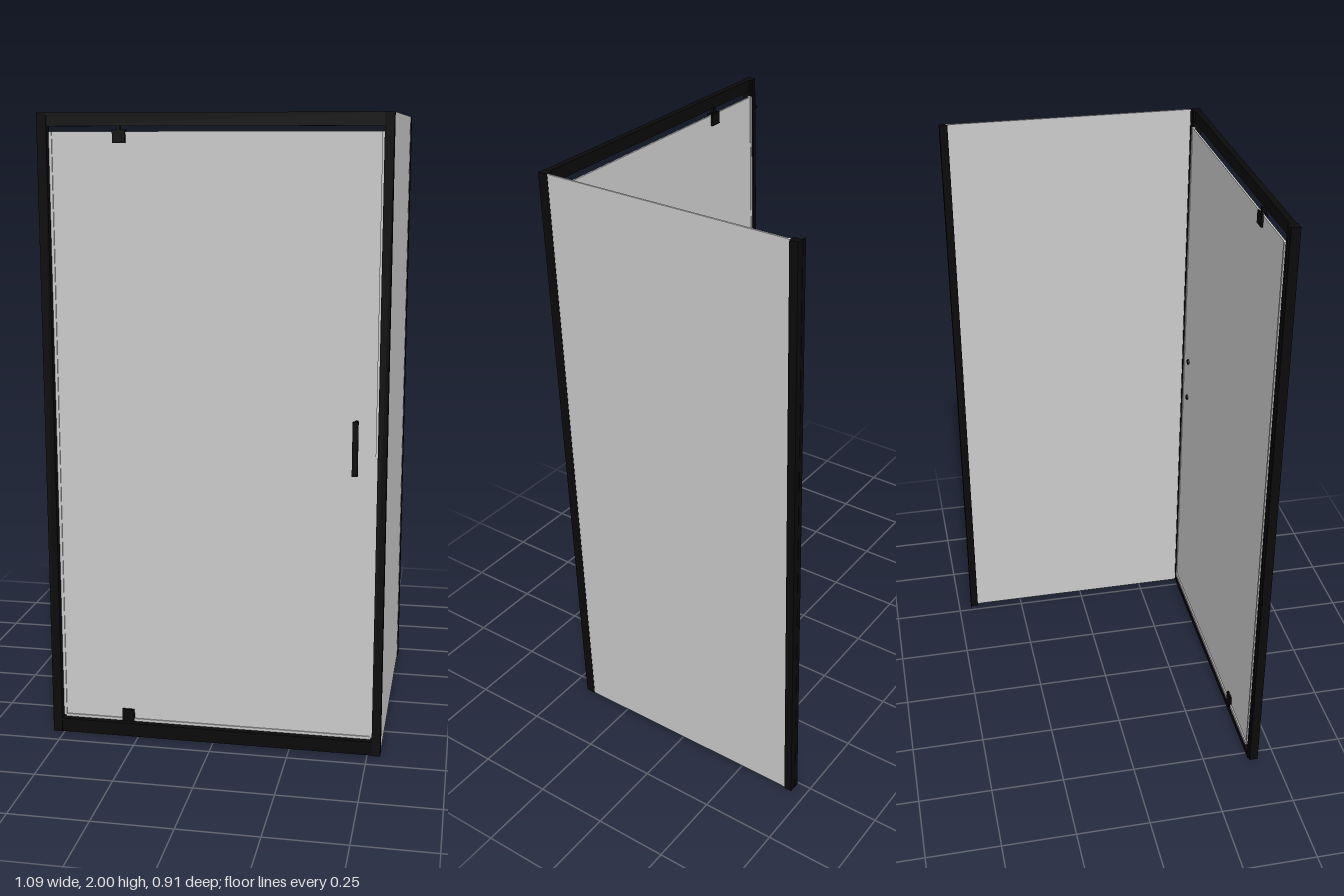
import * as THREE from 'three';

const black = new THREE.MeshStandardMaterial({ color: 0x0a0a0a });
const grey = new THREE.MeshStandardMaterial({ color: 0xcccccc });

export function createModel() {
  const model = new THREE.Group();

  // Box given by its limits on each axis
  const box = (name, [x0, x1], [y0, y1], [z0, z1], material = black, parent = model) => {
    const mesh = new THREE.Mesh(new THREE.BoxGeometry(x1 - x0, y1 - y0, z1 - z0), material);
    mesh.position.set((x0 + x1) / 2, (y0 + y1) / 2, (z0 + z1) / 2);
    mesh.name = name;
    parent.add(mesh);
    return mesh;
  };

  // Round pin centred at a point, lying along x or z
  const pin = (name, radius, length, axis, x, y, z, parent = model) => {
    const geometry = new THREE.CylinderGeometry(radius, radius, length, 16);
    if (axis === 'x') geometry.rotateZ(Math.PI / 2);
    else geometry.rotateX(Math.PI / 2);
    const mesh = new THREE.Mesh(geometry, black);
    mesh.position.set(x, y, z);
    mesh.name = name;
    parent.add(mesh);
  };

  // Front frame
  box('wallPost', [-0.537, -0.507], [0, 2], [0.41, 0.439]);
  box('wallPostLip', [-0.529, -0.516], [0, 2], [0.405, 0.41]);
  box('cornerPost', [0.514, 0.542], [0, 2], [0.41, 0.439]);
  box('cornerPostLip', [0.53, 0.542], [0, 2], [0.405, 0.41]);
  box('topRail', [-0.507, 0.514], [1.96, 2], [0.416, 0.436]);
  box('bottomRail', [-0.507, 0.514], [0, 0.045], [0.416, 0.436]);
  box('thresholdBase', [-0.507, 0.514], [0, 0.018], [0.405, 0.416]);

  // Door glass with its seals
  box('doorGlass', [-0.5, 0.508], [0.05, 1.945], [0.406, 0.412], grey);
  box('hingeSideSeal', [-0.507, -0.498], [0.05, 1.945], [0.404, 0.416], grey);
  box('closingSeal', [0.506, 0.514], [0.05, 1.945], [0.404, 0.416], grey);
  box('bottomSeal', [-0.5, 0.508], [0.04, 0.054], [0.401, 0.416], grey);

  // Pivot hinges clamped on both faces of the glass
  for (const [name, y0, y1, pivot0, pivot1] of [
    ['lowerHinge', 0.045, 0.086, 0.018, 0.045],
    ['upperHinge', 1.91, 1.95, 1.95, 1.965],
  ]) {
    const hinge = new THREE.Group();
    hinge.name = name;
    box('backPlate', [-0.307, -0.267], [y0, y1], [0.399, 0.406], black, hinge);
    box('frontPlate', [-0.307, -0.267], [y0, y1], [0.412, 0.419], black, hinge);
    box('pivot', [-0.292, -0.282], [pivot0, pivot1], [0.405, 0.419], black, hinge);
    model.add(hinge);
  }

  // Pull handle with two through bolts
  const handle = new THREE.Group();
  handle.name = 'handle';
  box('grip', [0.437, 0.455], [0.915, 1.085], [0.445, 0.453], black, handle);
  for (const y of [0.925, 1.075]) {
    pin('handleBolt', 0.007, 0.046, 'z', 0.446, y, 0.425, handle);
    pin('boltCap', 0.009, 0.006, 'z', 0.446, y, 0.403, handle);
  }
  model.add(handle);

  // Fixed side panel and its wall profile
  box('sideGlass', [0.535, 0.541], [0, 2], [-0.43, 0.415], grey);
  box('sideSeal', [0.533, 0.542], [0, 2], [-0.427, -0.413], grey);
  box('sideWallProfile', [0.523, 0.545], [0, 2], [-0.452, -0.425]);
  box('sideWallFlange', [0.508, 0.523], [0, 2], [-0.453, -0.451]);

  // Wall screws
  for (const y of [0.11, 0.7, 1.3, 1.9]) {
    pin('wallScrew', 0.002, 0.026, 'x', -0.532, y, 0.408);
    pin('screwHead', 0.005, 0.004, 'x', -0.537, y, 0.408);
  }

  return model;
}
